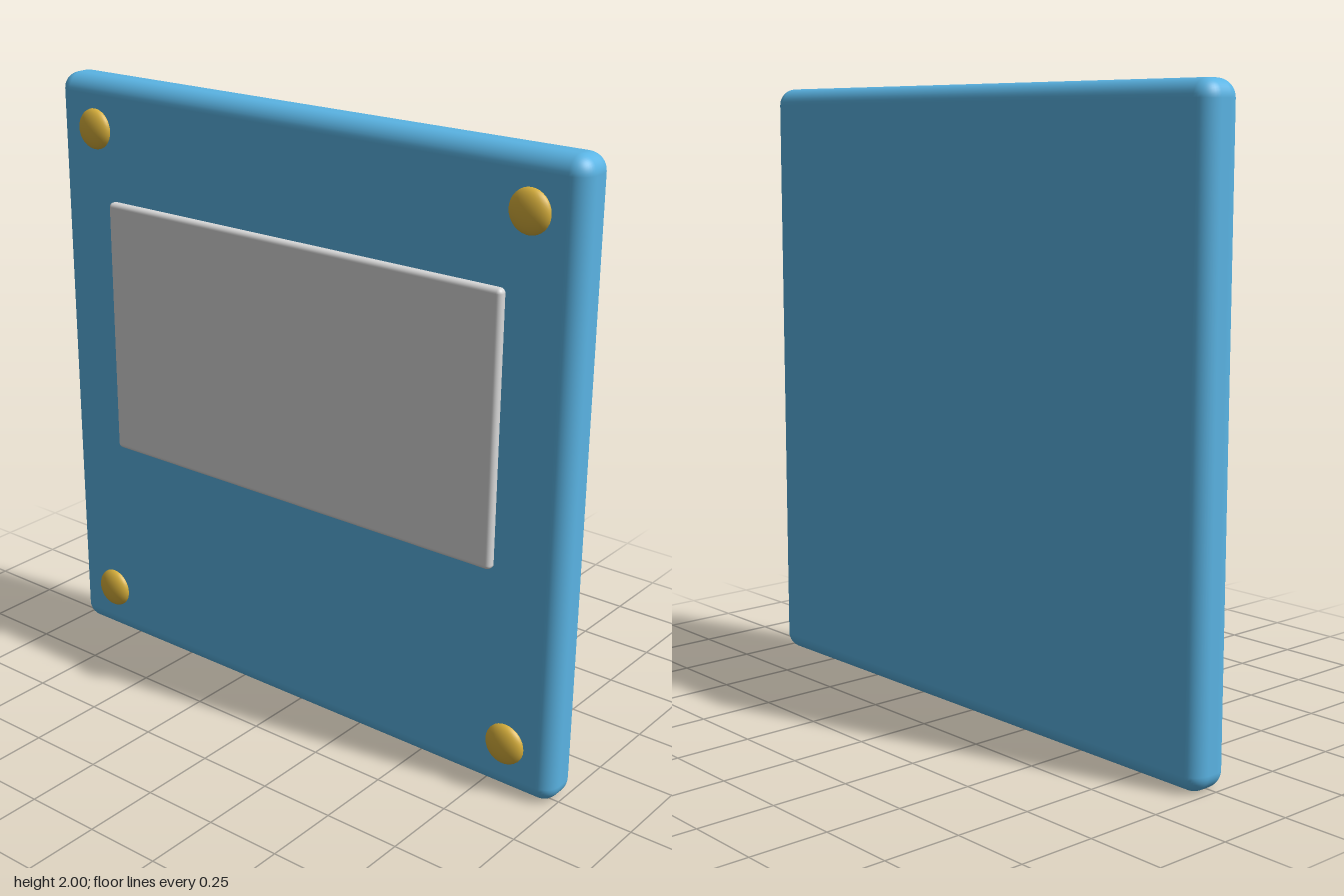
import * as THREE from 'three';
import { RoundedBoxGeometry } from 'three/addons/geometries/RoundedBoxGeometry.js';

const material = (name, color) => {
  const m = new THREE.MeshStandardMaterial({ color });
  m.name = name;
  return m;
};

export function createModel() {
  const blue = material('blue', 0x5ab4e4);
  const silver = material('silver', 0xd8d8d8);
  const gold = material('gold', 0xd8b03c);

  const group = new THREE.Group();
  group.name = 'wallPanel';
  const add = (name, geometry, mat, x, y, z) => {
    const mesh = new THREE.Mesh(geometry, mat);
    mesh.name = name;
    mesh.position.set(x, y, z);
    group.add(mesh);
  };

  const faceZ = 0.055; // front face of the panel

  // Thick backing panel with rounded edges
  add('panel', new RoundedBoxGeometry(2, 2, 0.144, 5, 0.055), blue, 0, 1, faceZ - 0.072);

  // Raised plate, half sunk into the panel
  add('plate', new RoundedBoxGeometry(1.53, 0.865, 0.05, 4, 0.015), silver, 0, 1.17, faceZ);

  // Flattened domed studs in the corners
  const stud = new THREE.SphereGeometry(0.067, 24, 16).scale(1, 1, 0.5);
  for (const [sx, side] of [[1, 'Left'], [-1, 'Right']]) {
    for (const [sy, level] of [[1, 'upper'], [-1, 'lower']]) {
      add(`${level}${side}Stud`, stud, gold, sx * 0.833, 1 + sy * 0.833, faceZ);
    }
  }
  return group;
}
